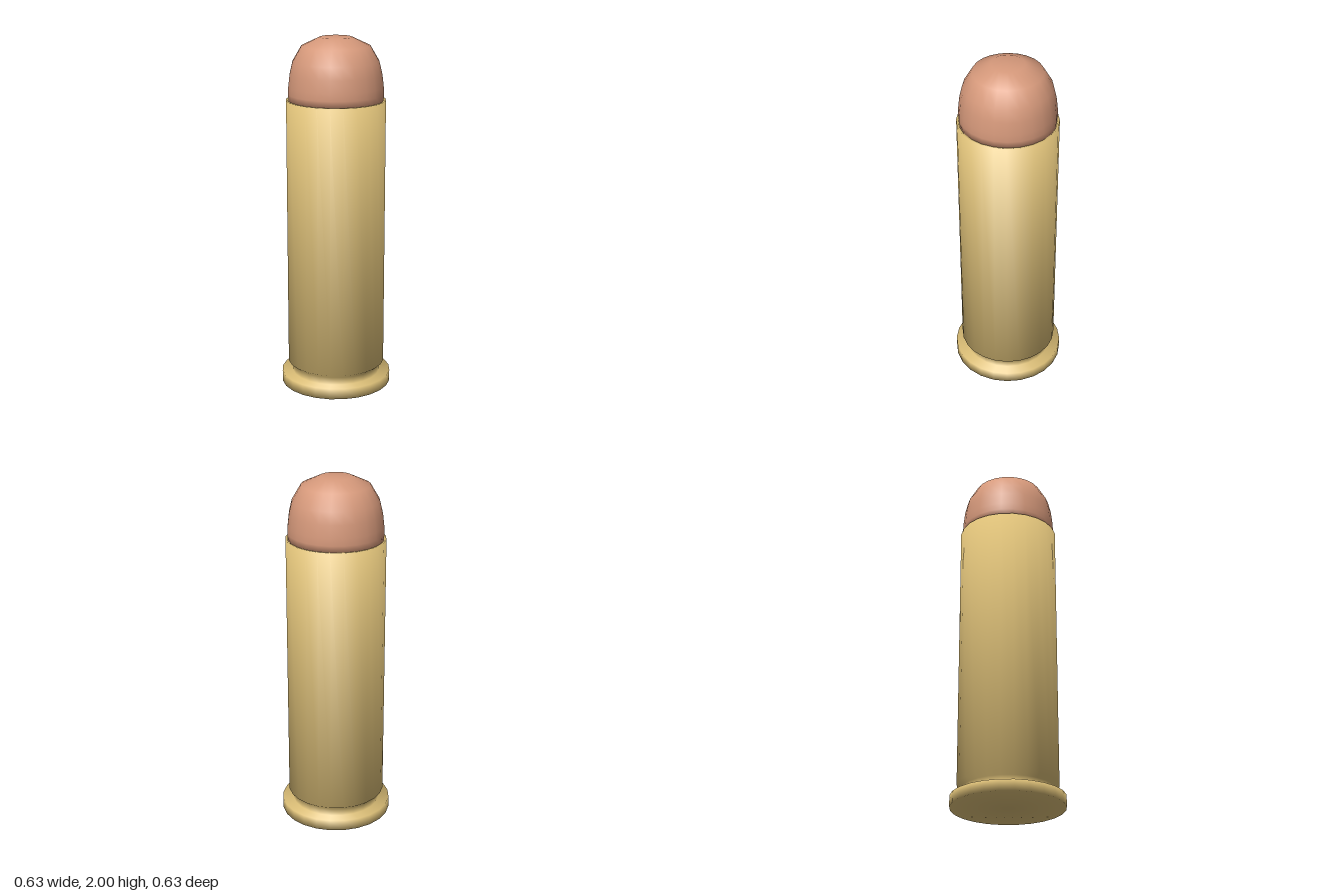
import * as THREE from 'three';

const SIDES = 24;

// Lathe whose shading blends evenly across neighbouring profile segments
function turned(name, material, profile) {
  const pts = profile.map(([r, y]) => new THREE.Vector2(r, y));
  const geo = new THREE.LatheGeometry(pts, SIDES);
  const seg = pts.slice(1).map((p, i) =>
    new THREE.Vector2(p.y - pts[i].y, pts[i].x - p.x).normalize());
  const normals = pts.map((p, i) => {
    const n = new THREE.Vector2();
    if (i > 0) n.add(seg[i - 1]);
    if (i < seg.length) n.add(seg[i]);
    return n.normalize();
  });
  const attr = geo.attributes.normal;
  for (let s = 0; s <= SIDES; s++) {
    const a = (s / SIDES) * Math.PI * 2;
    normals.forEach((n, j) =>
      attr.setXYZ(s * pts.length + j, n.x * Math.sin(a), n.y, n.x * Math.cos(a)));
  }
  const mesh = new THREE.Mesh(geo, material);
  mesh.name = name;
  return mesh;
}

export function createModel() {
  const brass = new THREE.MeshStandardMaterial({ color: 0xdabd76 });
  brass.name = 'brass';
  const copper = new THREE.MeshStandardMaterial({ color: 0xd6997b });
  copper.name = 'copper';

  const model = new THREE.Group();
  model.name = 'cartridge';

  // Case: flat base, rim, extractor groove, straight wall, thin mouth lip
  model.add(turned('case', brass, [
    [0, 0], [0.314, 0], [0.314, 0.062], [0.252, 0.062], [0.252, 0.105],
    [0.277, 0.125], [0.277, 1.655], [0.266, 1.655], [0.26, 1.64],
  ]));

  // Rounded nose with a small flat tip, tucked into the case mouth
  model.add(turned('nose', copper, [
    [0, 1.645], [0.262, 1.645], [0.266, 1.69], [0.264, 1.73], [0.256, 1.8],
    [0.24, 1.867], [0.19, 1.953], [0.09, 2], [0, 2],
  ]));

  return model;
}
